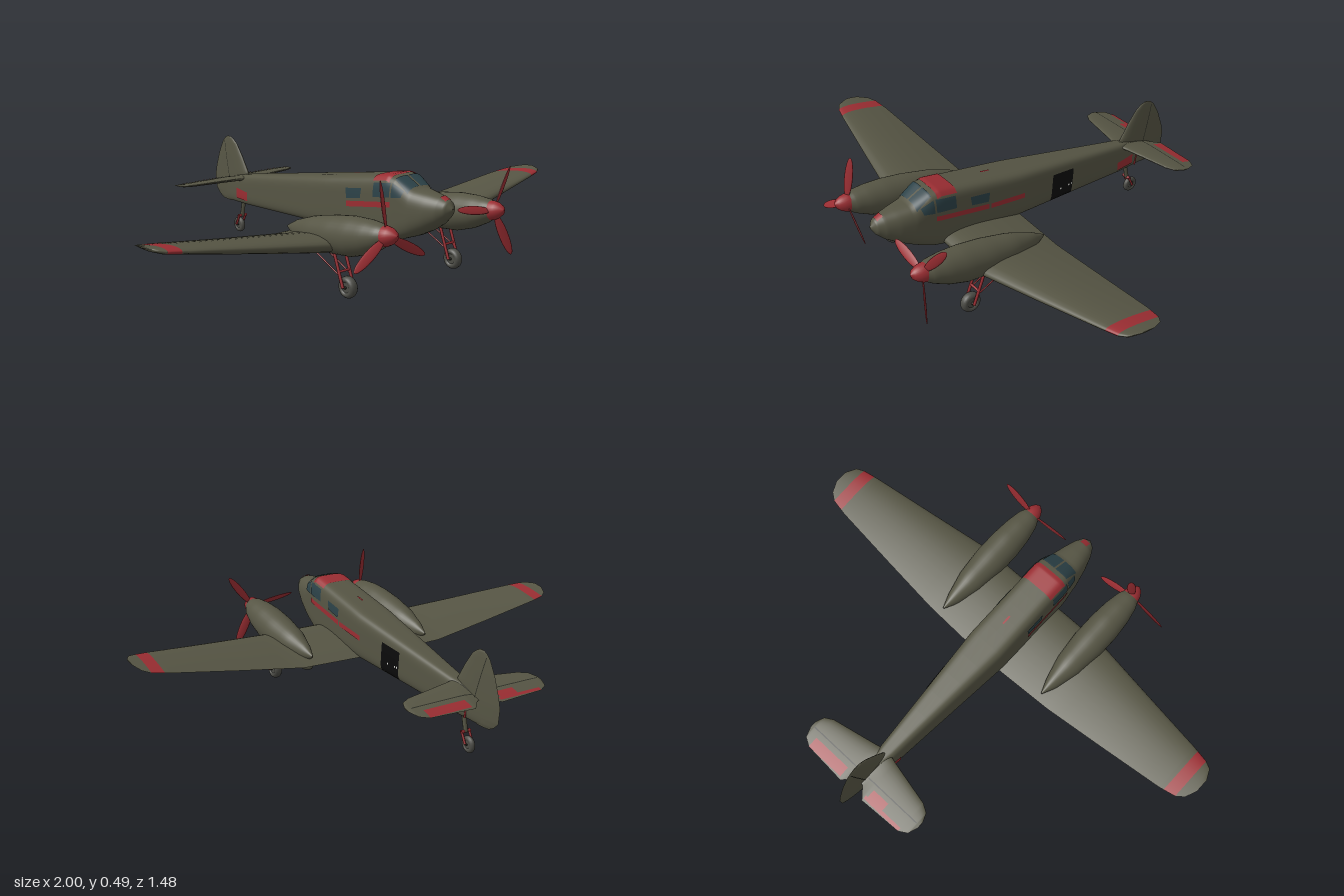
import * as THREE from 'three';

const material = (name, color, side = THREE.FrontSide) => {
  const m = new THREE.MeshStandardMaterial({ color, side });
  m.name = name;
  return m;
};
const olive = material('olive paint', 0x565544);
const red = material('red paint', 0x9a2d32, THREE.DoubleSide);
const glass = material('dark glass', 0x2c4248, THREE.DoubleSide);
const black = material('black', 0x0b0b0b, THREE.DoubleSide);
const lining = material('hinge lining', 0x2b2c24, THREE.DoubleSide);
const tyre = material('tyre grey', 0x4b4b45);
const white = material('white', 0xd8d8d4, THREE.DoubleSide);

// Linear lookup in a table of rows sorted by their first value
function lookup(table, t) {
  let i = 0;
  while (i < table.length - 2 && t > table[i + 1][0]) i++;
  const a = table[i], b = table[i + 1];
  const f = THREE.MathUtils.clamp((t - a[0]) / (b[0] - a[0]), 0, 1);
  return a.map((v, k) => v + (b[k] - v) * f);
}

// Stations of a table between two limits, finely divided
function stations(from, to, table, n = 5) {
  const keys = table.map((r) => r[0]).filter((k) => k > from && k < to);
  const all = [from, ...keys, to], out = [from];
  for (let i = 1; i < all.length; i++)
    for (let k = 1; k <= n; k++) out.push(all[i - 1] + ((all[i] - all[i - 1]) * k) / n);
  return out;
}

// Closed skin over cross-section rings, with capped ends
function loft(rings) {
  const n = rings[0].length, pos = [], idx = [];
  rings.forEach((r) => r.forEach((p) => pos.push(...p)));
  for (let i = 0; i < rings.length - 1; i++)
    for (let j = 0; j < n; j++) {
      const a = i * n + j, b = i * n + ((j + 1) % n);
      idx.push(a, b, a + n, b, b + n, a + n);
    }
  [rings[0], rings[rings.length - 1]].forEach((r, end) => {
    const s = pos.length / 3;
    r.forEach((p) => pos.push(...p));
    pos.push(...[0, 1, 2].map((k) => r.reduce((q, p) => q + p[k], 0) / n));
    for (let j = 0; j < n; j++) {
      const a = s + j, b = s + ((j + 1) % n);
      idx.push(...(end ? [a, b, s + n] : [b, a, s + n]));
    }
  });
  // Turn the faces outward
  let volume = 0;
  const v = (i) => new THREE.Vector3().fromArray(pos, i * 3);
  for (let i = 0; i < idx.length; i += 3) volume += v(idx[i]).dot(v(idx[i + 1]).cross(v(idx[i + 2])));
  if (volume < 0) idx.reverse();
  return surface(pos, idx);
}

function surface(pos, idx) {
  const g = new THREE.BufferGeometry();
  g.setAttribute('position', new THREE.Float32BufferAttribute(pos, 3));
  g.setIndex(idx);
  g.computeVertexNormals();
  return g;
}

// Thin painted sheet following a rule point(u, v)
function sheet(point, n = 8) {
  const pos = [], idx = [];
  for (let i = 0; i <= n; i++)
    for (let j = 0; j <= n; j++) {
      pos.push(...point(i / n, j / n));
      const a = i * (n + 1) + j;
      if (i < n && j < n) idx.push(a, a + n + 1, a + 1, a + 1, a + n + 1, a + n + 2);
    }
  // Outward for sheets on the +x or +y side
  const g = surface(pos, idx);
  const c = g.attributes.normal;
  if (c.getX(0) + c.getY(0) < 0) { g.setIndex(idx.reverse()); g.computeVertexNormals(); }
  return g;
}

// Fuselage: z, half width, bottom, top, squareness
const BODY = [
  [-0.68, 0.004, 0.145, 0.25, 2.5], [-0.62, 0.015, 0.141, 0.258, 3], [-0.47, 0.038, 0.148, 0.285, 4],
  [0.1, 0.084, 0.183, 0.385, 5], [0.47, 0.084, 0.198, 0.45, 5], [0.51, 0.082, 0.206, 0.446, 4.5],
  [0.58, 0.075, 0.232, 0.412, 3], [0.64, 0.063, 0.262, 0.407, 2.4], [0.69, 0.047, 0.295, 0.4, 2.1],
  [0.72, 0.03, 0.325, 0.388, 2], [0.738, 0.004, 0.355, 0.364, 2],
];
function bodyRing(z) {
  const [, w, lo, hi, n] = lookup(BODY, z);
  const pw = (c) => Math.sign(c) * Math.abs(c) ** (2 / n);
  return Array.from({ length: 48 }, (_, j) => {
    const a = (j / 48) * Math.PI * 2;
    return [w * pw(Math.cos(a)), (lo + hi) / 2 + ((hi - lo) / 2) * pw(Math.sin(a)), z];
  });
}
const bulge = (t, n) => Math.max(0, 1 - Math.abs(t) ** n) ** (1 / n);
function sidePatch(c, side) {
  return sheet((u, v) => {
    const mix = (k) => (c[0][k] * (1 - u) + c[1][k] * u) * (1 - v) + (c[3][k] * (1 - u) + c[2][k] * u) * v;
    const z = mix(0), y = mix(1), [, w, lo, hi, n] = lookup(BODY, z);
    return [side * (w * bulge((2 * y - lo - hi) / (hi - lo), n) + 0.003), y, z];
  });
}
const roofPatch = (z0, z1, x0, x1) => sheet((u, v) => {
  const z = z0 + (z1 - z0) * u, x = x0 + (x1 - x0) * v, [, w, lo, hi, n] = lookup(BODY, z);
  return [x, (lo + hi) / 2 + ((hi - lo) / 2) * bulge(x / w, n) + 0.003, z];
}, 16);

// Aerofoils: span, leading z, trailing z, leading y, trailing y, thickness
const WING = [
  [0, 0.47, 0.1, 0.225, 0.195, 0.072], [0.33, 0.47, 0.114, 0.225, 0.196, 0.07], [0.6, 0.42, 0.132, 0.255, 0.232, 0.052],
  [0.88, 0.368, 0.152, 0.289, 0.272, 0.03], [0.95, 0.352, 0.164, 0.297, 0.282, 0.024],
  [0.98, 0.335, 0.185, 0.303, 0.291, 0.017], [1, 0.29, 0.23, 0.308, 0.303, 0.005],
];
const STAB = [
  [0, -0.47, -0.63, 0.268, 0.242, 0.024], [0.02, -0.475, -0.635, 0.268, 0.241, 0.024], [0.06, -0.485, -0.68, 0.267, 0.235, 0.023],
  [0.25, -0.525, -0.67, 0.262, 0.238, 0.016], [0.285, -0.545, -0.65, 0.259, 0.243, 0.012], [0.3, -0.58, -0.61, 0.254, 0.25, 0.004],
];
const FIN = [
  [0.14, -0.605, -0.68, 0.012], [0.155, -0.58, -0.71, 0.02], [0.18, -0.53, -0.735, 0.026], [0.24, -0.5, -0.742, 0.03],
  [0.28, -0.485, -0.733, 0.03], [0.35, -0.53, -0.708, 0.022], [0.405, -0.572, -0.678, 0.014], [0.425, -0.6, -0.657, 0.009], [0.432, -0.62, -0.64, 0.003],
];
const foil = (u) => Math.max(0, 5 * (0.2969 * Math.sqrt(u) - 0.126 * u - 0.3516 * u * u + 0.2843 * u ** 3 - 0.1036 * u ** 4));
const foilPoints = Array.from({ length: 29 }, (_, j) => {
  const u = (1 - Math.cos(((14 - j) / 14) * Math.PI)) / 2;
  return [u, j <= 14 ? 1 : -1];
});
const foilRing = (table, x) => {
  const [, z0, z1, y0, y1, t] = lookup(table, Math.abs(x));
  return foilPoints.map(([u, s]) => [x, y0 + (y1 - y0) * u + s * t * foil(u), z0 + (z1 - z0) * u]);
};
const foilSpan = (table, from, to) => {
  const keys = [...table.slice(1).map((r) => [-r[0]]).reverse(), ...table];
  return loft(stations(from, to, keys, 4).map((x) => foilRing(table, x)));
};
const foilPatch = (table, x0, x1, za, zb) => sheet((a, b) => {
  const x = x0 + (x1 - x0) * a, z = za + (zb - za) * b;
  const [, z0, z1, y0, y1, t] = lookup(table, Math.abs(x)), u = THREE.MathUtils.clamp((z - z0) / (z1 - z0), 0, 1);
  return [x, y0 + (y1 - y0) * u + t * foil(u) + 0.002, z];
});

// Engine nacelle: z, centre y, half width, half height
const NACELLE = [
  [0.14, 0.225, 0.003, 0.004], [0.2, 0.226, 0.028, 0.036], [0.3, 0.238, 0.055, 0.06], [0.42, 0.252, 0.068, 0.073],
  [0.52, 0.265, 0.068, 0.076], [0.6, 0.28, 0.061, 0.065], [0.66, 0.294, 0.049, 0.048], [0.69, 0.301, 0.035, 0.034],
];
const nacelleRing = ([z, y, w, h], x) => Array.from({ length: 32 }, (_, j) => {
  const a = (j / 16) * Math.PI;
  return [x + w * Math.cos(a), y + h * Math.sin(a), z];
});

export function createModel() {
  const model = new THREE.Group();
  model.name = 'aeroplane';
  const add = (name, geometry, mat, parent = model) => {
    const m = new THREE.Mesh(geometry, mat);
    m.name = name;
    parent.add(m);
    return m;
  };
  const rod = (name, a, b, r, mat = red) => {
    const curve = new THREE.LineCurve3(new THREE.Vector3(...a), new THREE.Vector3(...b));
    return add(name, new THREE.TubeGeometry(curve, 1, r, 8), mat);
  };
  const wheel = (name, x, y, z, r, width) => {
    const g = new THREE.Group();
    g.name = name;
    g.position.set(x, y, z);
    g.rotation.y = Math.PI / 2;
    add('tyre', new THREE.TorusGeometry(r * 0.68, r * 0.32, 12, 28), tyre, g).scale.z = width / (r * 0.64);
    add('hub', new THREE.CylinderGeometry(r * 0.5, r * 0.5, width * 0.7, 20).rotateX(Math.PI / 2), tyre, g);
    add('axle', new THREE.CylinderGeometry(r * 0.13, r * 0.13, width * 1.15, 10).rotateX(Math.PI / 2), lining, g);
    model.add(g);
  };

  add('fuselage', loft(stations(-0.68, 0.738, BODY, 6).map(bodyRing)), olive);
  add('wing', foilSpan(WING, -0.9, 0.9), olive);
  add('tailplane', foilSpan(STAB, -0.3, 0.3), olive);
  add('fin', loft(stations(0.14, 0.432, FIN, 4).map((y) => {
    const [, z0, z1, t] = lookup(FIN, y);
    return foilPoints.map(([u, s]) => [s * t * foil(u), y, z0 + (z1 - z0) * u]);
  })), olive);

  // Cabin glazing and roof paint
  for (const x of [-1, 1]) add('windscreen', roofPatch(0.507, 0.572, x * 0.004, x * 0.064), glass);
  add('roofPanel', roofPatch(0.4, 0.487, -0.076, 0.076), red);
  add('roofMark', roofPatch(0.2, 0.24, -0.004, 0.004), red);
  add('noseMark', roofPatch(0.69, 0.715, -0.016, 0.016), red);

  for (const s of [-1, 1]) {
    add('wingBand', foilSpan(WING, s > 0 ? 0.9 : -0.95, s > 0 ? 0.95 : -0.9), red);
    add('wingTip', foilSpan(WING, s > 0 ? 0.95 : -1, s > 0 ? 1 : -0.95), olive);
    add('frontSideWindow', sidePatch([[0.557, 0.405], [0.505, 0.428], [0.505, 0.373], [0.55, 0.38]], s), glass);
    add('cabinWindow', sidePatch([[0.497, 0.428], [0.41, 0.414], [0.41, 0.36], [0.497, 0.373]], s), glass);
    add('rearWindow', sidePatch([[0.345, 0.382], [0.255, 0.367], [0.262, 0.328], [0.34, 0.343]], s), glass);
    add('sideStripe', sidePatch([[0.5, 0.357], [0.26, 0.317], [0.26, 0.295], [0.5, 0.336]], s), red);
    add('tailPanel', sidePatch([[-0.445, 0.212], [-0.54, 0.215], [-0.54, 0.168], [-0.445, 0.172]], s), red);
    add('elevatorHinge', foilPatch(STAB, s * 0.02, s * 0.285, -0.597, -0.602), lining);
    add('rudderHinge', sheet((u, v) => {
      const y = 0.16 + 0.25 * u, z = -0.583 - 0.075 * u - 0.004 * v, [, z0, z1, t] = lookup(FIN, y);
      return [s * (t * foil((z - z0) / (z1 - z0)) + 0.002), y, z];
    }), lining);

    // Engine, propeller and main landing gear
    const x = s * 0.277;
    const rows = stations(0.14, 0.69, NACELLE, 4).map((z) => lookup(NACELLE, z));
    add('nacelle', loft(rows.map((r) => nacelleRing(r, x))), olive);
    const fairing = add('wheelFairing', new THREE.SphereGeometry(1, 24, 16), olive);
    fairing.scale.set(0.026, 0.032, 0.088);
    fairing.position.set(x, 0.182, 0.235);

    const prop = new THREE.Group();
    prop.name = 'propeller';
    prop.position.set(x, 0.303, 0.69);
    prop.rotation.x = -0.2;
    const cone = [[0.038, -0.02], [0.037, 0], [0.031, 0.02], [0.019, 0.04], [0, 0.052]].map((p) => new THREE.Vector2(...p));
    add('spinner', new THREE.LatheGeometry(cone, 24).rotateX(Math.PI / 2), red, prop);
    for (let k = 0; k < 3; k++) {
      const blade = new THREE.SphereGeometry(1, 14, 18).scale(0.019, 0.088, 0.004).rotateY(0.5).translate(0, 0.107, 0);
      add('blade', blade, red, prop).rotation.z = (s > 0 ? -0.68 : 0) + (k * Math.PI * 2) / 3;
    }
    model.add(prop);

    wheel('mainWheel', x, 0.067, 0.49, 0.042, 0.036);
    for (const o of [-0.026, 0.026]) {
      rod('gearLeg', [x + o, 0.21, 0.435], [x + o, 0.067, 0.49], 0.006);
      rod('dragStrut', [x + o, 0.185, 0.31], [x + o, 0.11, 0.474], 0.003);
    }
    rod('legBrace', [x - 0.026, 0.125, 0.468], [x + 0.026, 0.125, 0.468], 0.005);
    rod('tailFork', [s * 0.017, 0.085, -0.54], [s * 0.017, 0.04, -0.562], 0.005);
  }
  add('elevatorPanel', foilPatch(STAB, 0.07, 0.25, -0.625, -0.67), red);
  add('elevatorPanel', foilPatch(STAB, -0.25, -0.06, -0.655, -0.67), red);
  add('elevatorPanel', foilPatch(STAB, -0.15, -0.07, -0.62, -0.655), red);

  // Left side door and markings
  add('rearStripe', sidePatch([[0.25, 0.314], [0.085, 0.297], [0.085, 0.275], [0.25, 0.293]], 1), red);
  add('door', sidePatch([[-0.068, 0.312], [-0.182, 0.298], [-0.17, 0.165], [-0.055, 0.175]], 1), black);
  for (const z of [-0.105, -0.15, -0.165]) {
    const speck = sidePatch([[z, 0.236], [z - 0.007, 0.236], [z - 0.007, 0.228], [z, 0.228]], 1);
    add('doorSpeck', speck.translate(0.002, 0, 0), white);
  }
  rod('rudderCable', [0.022, 0.225, -0.575], [0.022, 0.15, -0.562], 0.004);

  // Tail wheel
  wheel('tailWheel', 0, 0.037, -0.562, 0.034, 0.022);
  rod('tailStrut', [0, 0.16, -0.525], [0, 0.08, -0.542], 0.009, olive);
  rod('forkBridge', [-0.021, 0.083, -0.541], [0.021, 0.083, -0.541], 0.007);
  return model;
}
